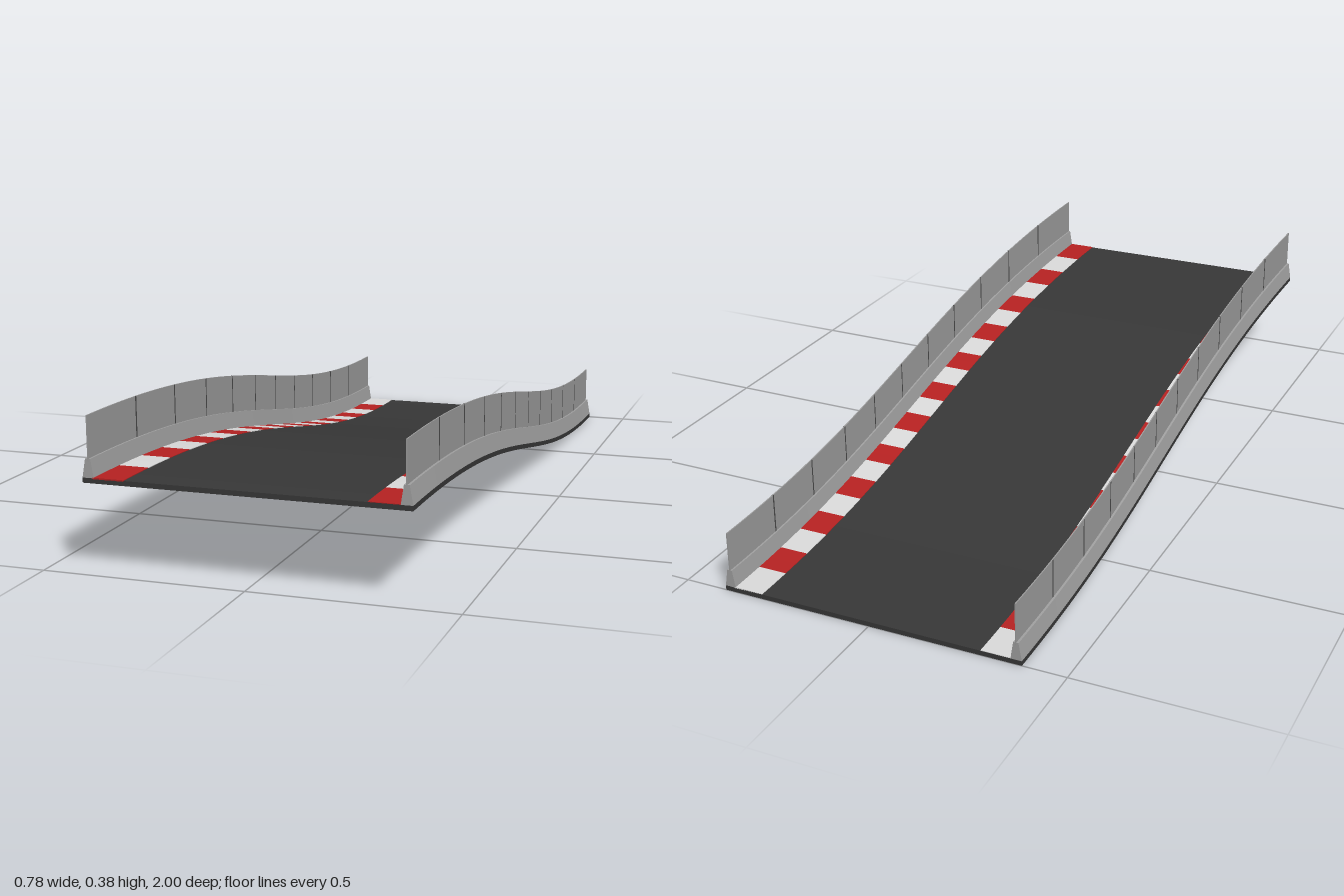
import * as THREE from 'three';

const STRIPES = 22;   // kerb blocks along the track
const STEPS = 2;      // slices per block
const RISE = 0.218, DECK = 0.012;

// Bezier S-curve: t = 0 is the low back end, t = 1 the high front end
const bez = (t, a, b, c, d) => {
  const s = 1 - t;
  return s * s * s * a + 3 * s * s * t * b + 3 * s * t * t * c + t * t * t * d;
};
const pathZ = t => bez(t, -1, -0.23, 0.04, 1);
const pathY = t => bez(t, 0, 0, RISE, RISE);

// Sweep a convex counter-clockwise [x, y] profile along the path from t0 to t1
function sweep(profile, t0, t1, steps) {
  const pos = [];
  const at = ([x, y], t) => [x, y + pathY(t), pathZ(t)];
  const n = profile.length;
  for (let k = 0; k < steps; k++) {
    const ta = t0 + (t1 - t0) * k / steps;
    const tb = t0 + (t1 - t0) * (k + 1) / steps;
    for (let i = 0; i < n; i++) {
      const p = profile[i], q = profile[(i + 1) % n];
      pos.push(...at(p, ta), ...at(q, ta), ...at(q, tb));
      pos.push(...at(p, ta), ...at(q, tb), ...at(p, tb));
    }
  }
  for (let i = 1; i < n - 1; i++) {
    pos.push(...at(profile[0], t1), ...at(profile[i], t1), ...at(profile[i + 1], t1));
    pos.push(...at(profile[0], t0), ...at(profile[i + 1], t0), ...at(profile[i], t0));
  }
  const geo = new THREE.BufferGeometry();
  geo.setAttribute('position', new THREE.Float32BufferAttribute(pos, 3));
  geo.computeVertexNormals();
  return geo;
}

const rect = (x0, x1, y0, y1) => [[x0, y0], [x1, y0], [x1, y1], [x0, y1]];
const mirror = profile => profile.map(([x, y]) => [-x, y]).reverse();

export function createModel() {
  const mat = (name, color) => {
    const m = new THREE.MeshStandardMaterial({ color });
    m.name = name;
    return m;
  };
  const asphalt = mat('asphalt', 0x383838);
  const red = mat('kerbRed', 0xb82222);
  const white = mat('kerbWhite', 0xdcdcdc);
  const concrete = mat('concrete', 0xa2a2a2);
  const fenceGrey = mat('fenceGrey', 0x9e9e9e);
  const seamGrey = mat('seamGrey', 0x4a4a4a);

  const model = new THREE.Group();
  model.name = 'trackRamp';
  const add = (parent, name, geo, material) => {
    const mesh = new THREE.Mesh(geo, material);
    mesh.name = name;
    parent.add(mesh);
  };
  const all = STRIPES * STEPS;

  // Road slab
  add(model, 'roadDeck', sweep(rect(-0.39, 0.39, 0, DECK), 0, 1, all), asphalt);

  for (const side of ['left', 'right']) {
    const group = new THREE.Group();
    group.name = side + 'Edge';
    model.add(group);
    const prof = p => side === 'left' ? p : mirror(p);

    // Striped kerb, a thin plate on the deck
    const kerb = prof(rect(0.288, 0.366, DECK - 0.002, DECK + 0.0015));
    for (let i = 0; i < STRIPES; i++) {
      add(group, 'kerbBlock', sweep(kerb, i / STRIPES, (i + 1) / STRIPES, STEPS), i % 2 ? red : white);
    }

    // Tapered concrete barrier
    const barrier = prof([[0.362, DECK], [0.39, DECK], [0.382, 0.057], [0.369, 0.057]]);
    add(group, 'barrier', sweep(barrier, 0, 1, all), concrete);

    // Thin fence standing on the barrier
    add(group, 'fence', sweep(prof(rect(0.3735, 0.3765, 0.05, 0.157)), 0, 1, all), fenceGrey);

    // Narrow seams between the fence panels
    const seam = prof(rect(0.373, 0.377, 0.057, 0.157));
    for (let i = 2; i < STRIPES; i += 2) {
      const t = i / STRIPES;
      add(group, 'fenceSeam', sweep(seam, t - 0.001, t + 0.001, 1), seamGrey);
    }
  }
  return model;
}
